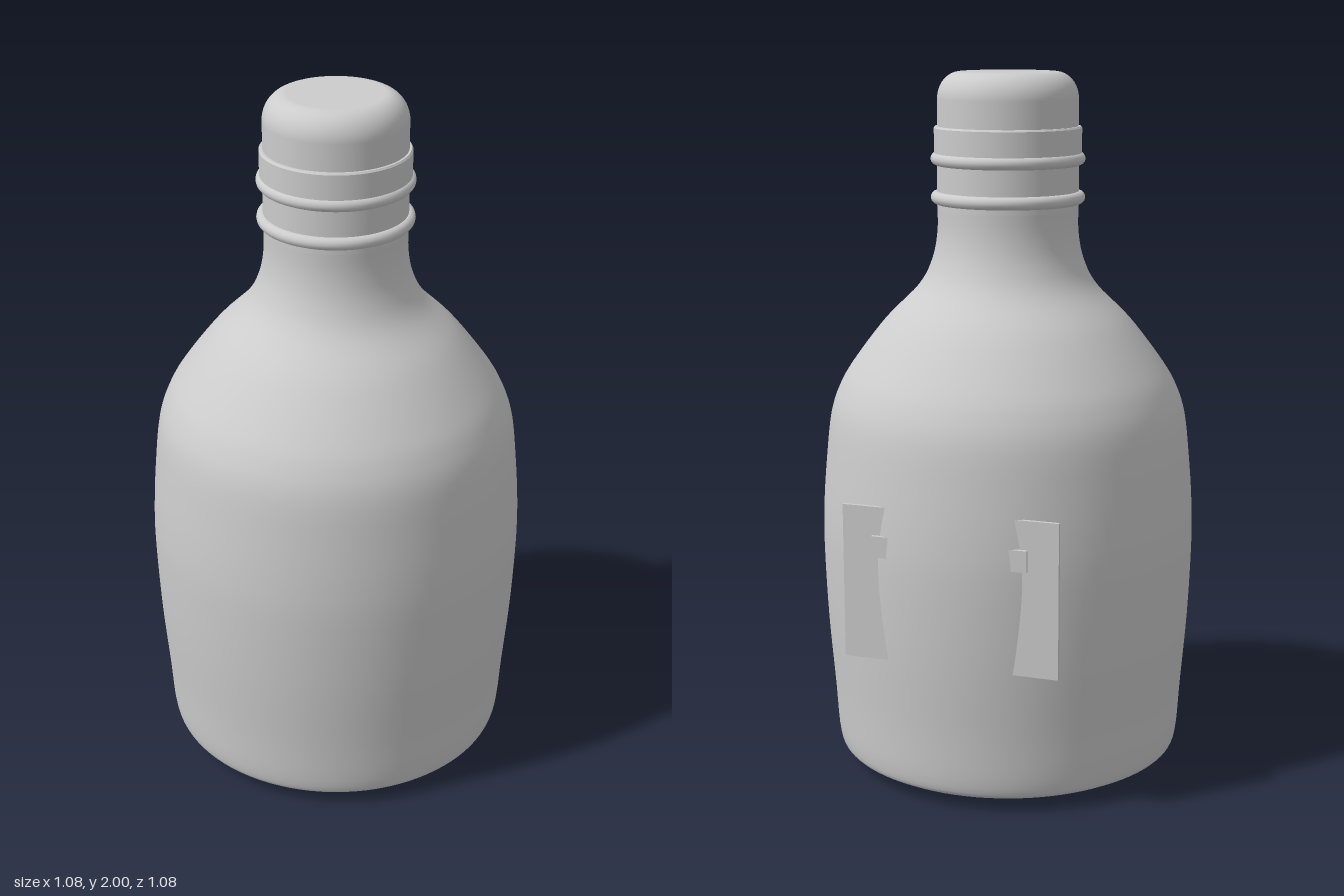
import * as THREE from 'three';

const grey = new THREE.MeshStandardMaterial({ color: 0xcccccc });
grey.name = 'plain grey';

const V = (p) => new THREE.Vector2(p[0], p[1]);

export function createModel() {
  const model = new THREE.Group();
  model.name = 'bottle';

  const add = (name, geometry, x = 0, y = 0, z = 0) => {
    const mesh = new THREE.Mesh(geometry, grey);
    mesh.name = name;
    mesh.position.set(x, y, z);
    model.add(mesh);
    return mesh;
  };

  // Body: smooth curve from the base, over the shoulder, up to the neck
  const bodyCurve = new THREE.SplineCurve([
    [0, 0.008], [0.15, 0.004], [0.3, 0.008], [0.42, 0.022], [0.478, 0.04], [0.502, 0.075],
    [0.514, 0.23], [0.53, 0.44], [0.538, 0.65], [0.536, 0.77], [0.526, 0.9], [0.51, 1.035],
    [0.483, 1.116], [0.44, 1.188], [0.35, 1.305], [0.256, 1.4], [0.216, 1.475],
    [0.2, 1.555], [0.2, 1.64],
  ].map(V));
  const bodyPoints = bodyCurve.getPoints(90);
  bodyPoints[0].x = 0;
  add('body', new THREE.LatheGeometry(bodyPoints, 96));

  // Neck wall between the two rings
  add('neck', new THREE.CylinderGeometry(0.2, 0.2, 0.16, 96, 1, true), 0, 1.7, 0);

  // Rounded rings around the neck
  for (const [name, y] of [['lowerNeckRing', 1.652], ['upperNeckRing', 1.76]]) {
    const ring = add(name, new THREE.TorusGeometry(0.2, 0.018, 14, 96), 0, y, 0);
    ring.rotation.x = Math.PI / 2;
  }

  // Collar below the cap, with a small chamfered lip
  add('collar', new THREE.LatheGeometry(
    [[0.195, 1.755], [0.208, 1.765], [0.208, 1.765], [0.208, 1.845], [0.208, 1.845],
      [0.204, 1.85], [0.204, 1.85], [0.19, 1.85]].map(V), 96));

  // Cap with a rounded top edge
  const capPoints = [V([0.198, 1.84])];
  for (let i = 0; i <= 12; i++) {
    const a = (i / 12) * Math.PI / 2;
    capPoints.push(V([0.133 + 0.065 * Math.cos(a), 1.925 + 0.075 * Math.sin(a)]));
  }
  capPoints.push(V([0, 2]));
  add('cap', new THREE.LatheGeometry(capPoints, 96));

  // Flat plates and small tabs emerging from the back of the body
  for (const [side, s] of [['left', 1], ['right', -1]]) {
    add(side + 'BackPlate', new THREE.BoxGeometry(0.15, 0.435, 0.01), s * 0.233, 0.638, -0.492);
    add(side + 'BackTab', new THREE.BoxGeometry(0.05, 0.06, 0.025), s * 0.197, 0.745, -0.495);
  }

  return model;
}
